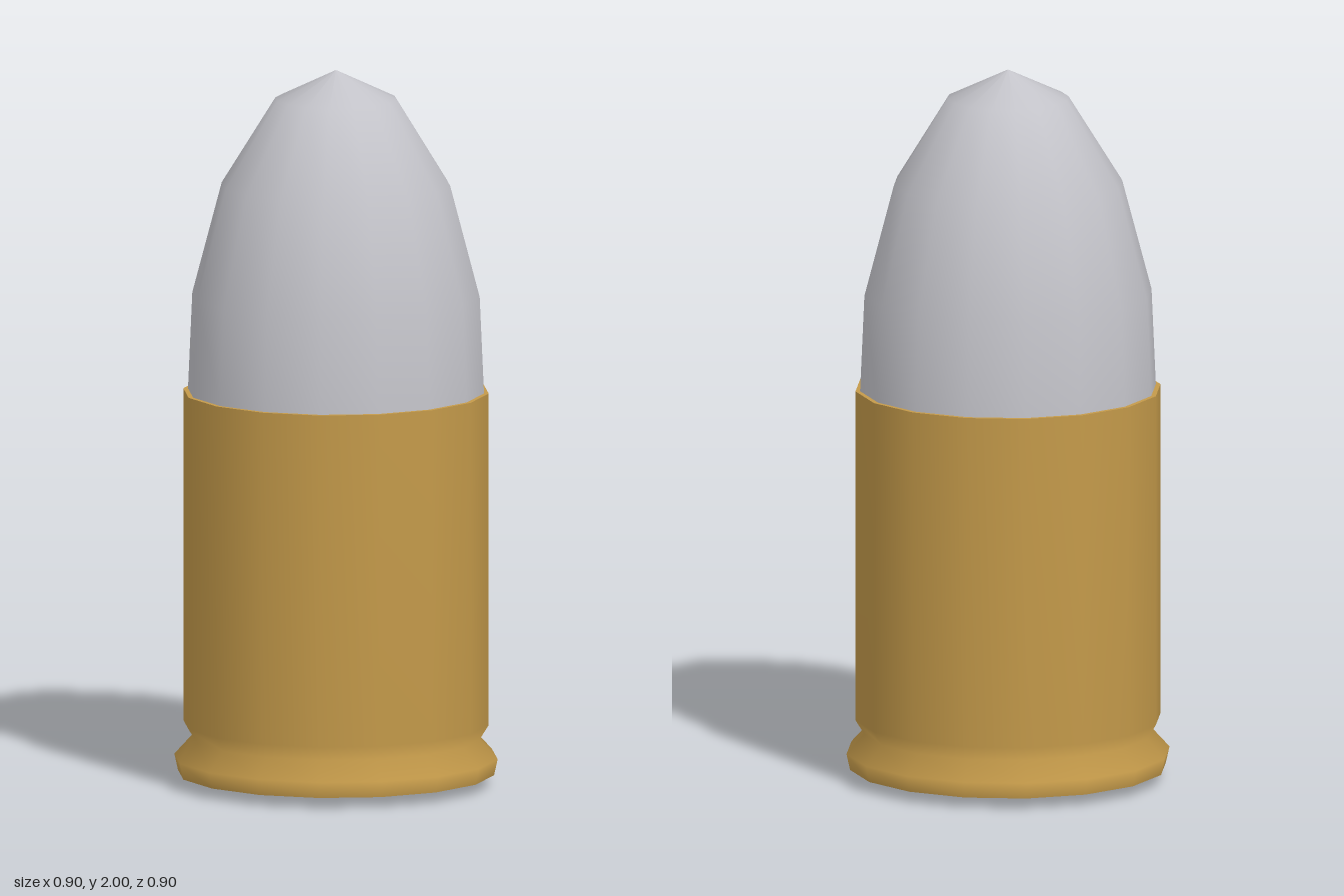
import * as THREE from 'three';

const SIDES = 16;

// Smooth body of revolution from [radius, y] pairs, listed bottom to top
function turned(name, profile, material) {
  const points = profile.map(([r, y]) => new THREE.Vector2(r, y));
  const mesh = new THREE.Mesh(new THREE.LatheGeometry(points, SIDES), material);
  mesh.name = name;
  return mesh;
}

export function createModel() {
  const brass = new THREE.MeshStandardMaterial({ color: 0xc49a4a });
  brass.name = 'brass';
  const silver = new THREE.MeshStandardMaterial({ color: 0xc3c3c9 });
  silver.name = 'silver';

  const model = new THREE.Group();
  model.name = 'cartridge';

  // Case wall with rim and extractor groove
  model.add(turned('caseWall', [
    [0.44, 0.03], [0.45, 0.075], [0.4, 0.13], [0.425, 0.17], [0.425, 1.1],
  ], brass));

  // Flat head and mouth, kept separate for crisp edges
  model.add(turned('caseHead', [[0, 0.03], [0.44, 0.03]], brass));
  model.add(turned('caseMouth', [[0.425, 1.1], [0.408, 1.1]], brass));

  // Pointed projectile seated in the mouth
  model.add(turned('projectile', [
    [0.413, 1.07], [0.412, 1.1], [0.4, 1.37], [0.318, 1.68], [0.169, 1.92], [0, 2],
  ], silver));

  // Primer under the head
  const primer = new THREE.Mesh(new THREE.CylinderGeometry(0.11, 0.11, 0.04, SIDES), silver);
  primer.name = 'primer';
  primer.position.y = 0.02;
  model.add(primer);

  return model;
}
